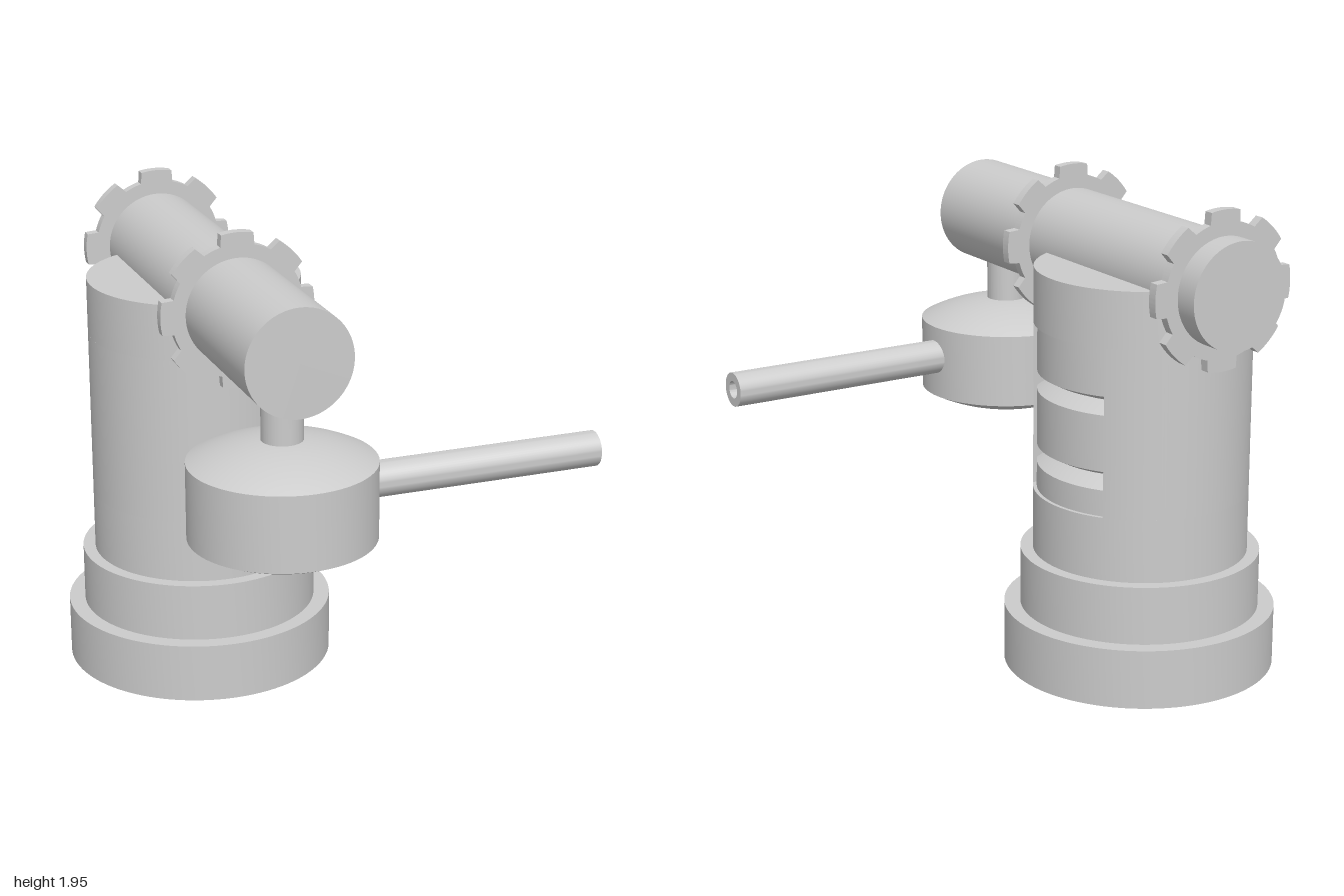
import * as THREE from 'three';
import { toCreasedNormals } from 'three/addons/utils/BufferGeometryUtils.js';

const material = new THREE.MeshStandardMaterial({ color: 0xcccccc });
const CX = -0.375; // shared axis of tower, beam and head
const TOWER_Z = -0.385;

function part(name, geometry, parent, x = 0, y = 0, z = 0) {
  const mesh = new THREE.Mesh(toCreasedNormals(geometry, 0.5), material);
  mesh.name = name;
  mesh.position.set(x, y, z);
  parent.add(mesh);
  return mesh;
}

const lathe = (points, segments = 96) =>
  new THREE.LatheGeometry(points.map(([r, y]) => new THREE.Vector2(r, y)), segments);

// Solid upright cylinder between two heights
const drum = (r, y0, y1) => lathe([[0, y0], [r, y0], [r, y1], [0, y1]]);

// Round section with a rectangular slot cut into its +x side
function slottedSection(r, halfWidth, floorX, height) {
  const a = Math.asin(halfWidth / r);
  const shape = new THREE.Shape();
  shape.moveTo(floorX, halfWidth);
  shape.lineTo(r * Math.cos(a), halfWidth);
  shape.absarc(0, 0, r, a, Math.PI * 2 - a, false);
  shape.lineTo(floorX, -halfWidth);
  shape.closePath();
  return new THREE.ExtrudeGeometry(shape, { depth: height, bevelEnabled: false, curveSegments: 80 })
    .rotateX(-Math.PI / 2);
}

// Toothed ring plate centred on z = 0
function toothedCollar(teeth, rootR, tipR, thickness) {
  const shape = new THREE.Shape();
  const root = 0.26, tip = 0.21, step = Math.PI * 2 / teeth;
  shape.moveTo(rootR * Math.cos(-root), rootR * Math.sin(-root));
  for (let i = 0; i < teeth; i++) {
    const a = i * step;
    shape.lineTo(tipR * Math.cos(a - tip), tipR * Math.sin(a - tip));
    shape.absarc(0, 0, tipR, a - tip, a + tip, false);
    shape.lineTo(rootR * Math.cos(a + root), rootR * Math.sin(a + root));
    shape.absarc(0, 0, rootR, a + root, a + step - root, false);
  }
  const hole = new THREE.Path();
  hole.absarc(0, 0, 0.2, 0, Math.PI * 2, true);
  shape.holes.push(hole);
  return new THREE.ExtrudeGeometry(shape, { depth: thickness, bevelEnabled: false, curveSegments: 10 })
    .translate(0, 0, -thickness / 2);
}

export function createModel() {
  const model = new THREE.Group();
  model.name = 'machine';

  // Stepped base and tower
  const tower = new THREE.Group();
  tower.name = 'tower';
  tower.position.set(CX, 0, TOWER_Z);
  model.add(tower);
  part('baseStep', drum(0.545, 0, 0.24), tower);
  part('middleStep', drum(0.48, 0.24, 0.475), tower);
  part('lowerColumn', drum(0.43, 0.475, 0.73), tower);
  part('slottedColumn', slottedSection(0.43, 0.25, 0.2, 0.675), tower, 0, 0.73, 0);
  part('upperColumn', drum(0.43, 1.405, 1.63), tower);

  // Stacked domed rollers showing through the slot
  part('rollerStack', lathe([
    [0.415, 0.73], [0.415, 0.835], [0.375, 0.856], [0.33, 0.872], [0.375, 0.889], [0.415, 0.91],
    [0.415, 1.135], [0.375, 1.156], [0.33, 1.172], [0.375, 1.189], [0.415, 1.21], [0.415, 1.405],
  ]), tower);

  // Horizontal beam with toothed collars
  const beam = new THREE.Group();
  beam.name = 'beam';
  beam.position.set(CX, 1.635, 0);
  model.add(beam);
  part('beamTube', drum(0.21, -1, 0.83).rotateX(Math.PI / 2), beam);
  for (const [name, z] of [['frontCollar', 0.14], ['rearCollar', -0.88]]) {
    part(name, toothedCollar(8, 0.265, 0.31, 0.04), beam, 0, 0, z);
  }

  // Hanging head: straight wall with shallow domes above and below
  const head = new THREE.Group();
  head.name = 'head';
  head.position.set(CX, 0, 0.64);
  model.add(head);
  const profile = [];
  const steps = 14, rise = 0.088, radius = 0.36;
  const R = (radius * radius + rise * rise) / (2 * rise);
  const dome = (r) => Math.sqrt(R * R - r * r) - (R - rise);
  for (let i = 0; i <= steps; i++) profile.push([radius * i / steps, 0.9 - dome(radius * i / steps)]);
  for (let i = steps; i >= 0; i--) profile.push([radius * i / steps, 1.2 + dome(radius * i / steps)]);
  part('headBody', lathe(profile), head);
  part('neck', drum(0.08, 1.25, 1.48), head);

  // Hollow side nozzle pointing to +x
  const nozzle = lathe([
    [0, 0.1], [0.07, 0.1], [0.07, 1.295], [0.036, 1.295], [0.036, 0.2], [0, 0.2],
  ], 48).rotateZ(-Math.PI / 2);
  part('nozzle', nozzle, head, 0, 1.07, -0.007);

  return model;
}
